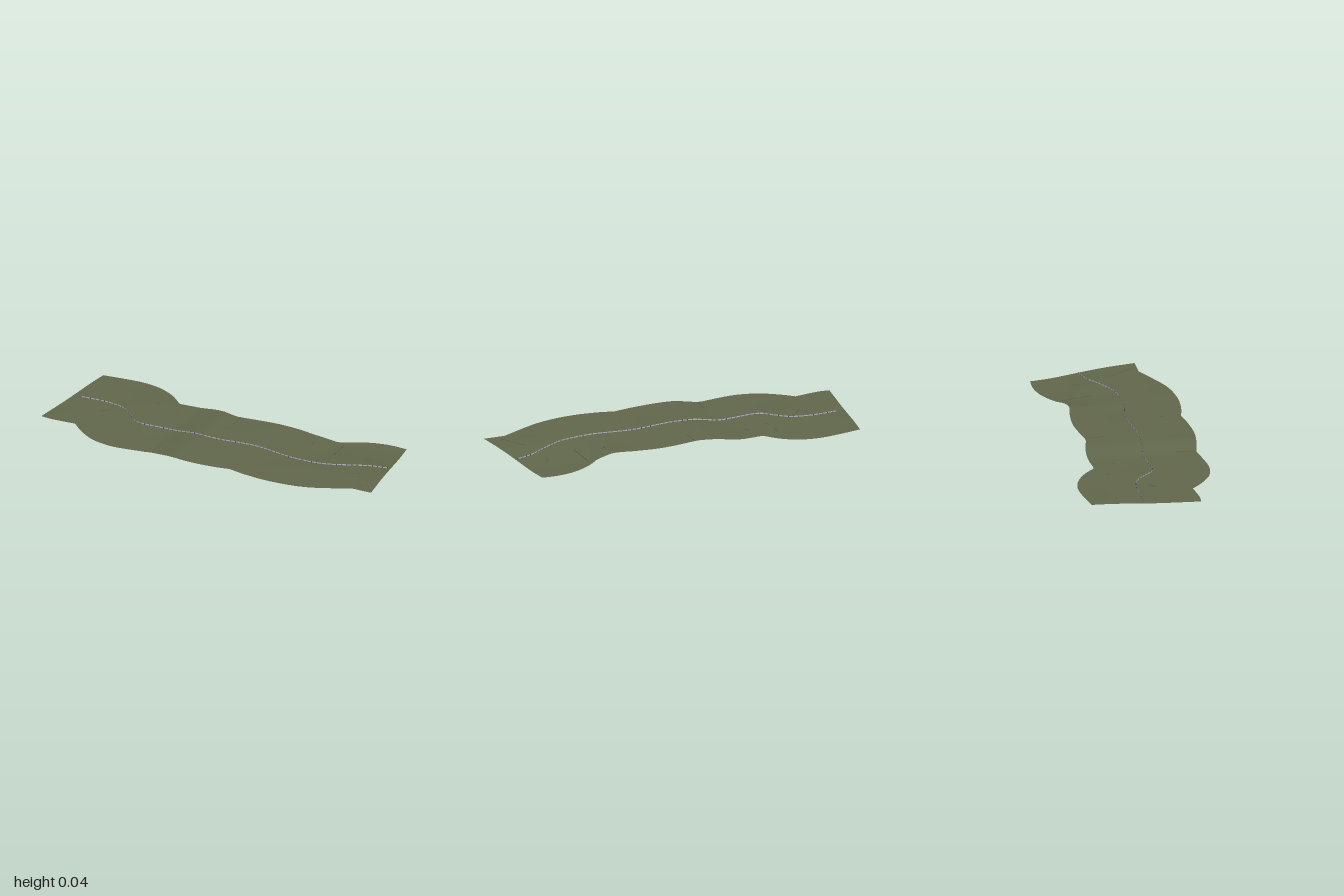
import * as THREE from 'three';

const mat = (name, color) => {
  const m = new THREE.MeshStandardMaterial({ color, side: THREE.DoubleSide });
  m.name = name;
  return m;
};

// Each edge of the strip is a row of smooth arcs meeting at sharp notches, [x, z]
const smoothEdge = (arcs) => arcs.flatMap((arc) =>
  new THREE.SplineCurve(arc.map(([x, z]) => new THREE.Vector2(x, z))).getPoints(24));

const BACK = smoothEdge([
  [[-0.94, -0.345], [-0.8, -0.367], [-0.7, -0.375], [-0.6, -0.36], [-0.5, -0.312], [-0.42, -0.24]],
  [[-0.42, -0.24], [-0.28, -0.25], [-0.17, -0.243], [-0.07, -0.222], [-0.02, -0.225], [0.1, -0.243],
    [0.2, -0.25], [0.32, -0.242], [0.43, -0.225], [0.54, -0.24]],
  [[0.54, -0.24], [0.62, -0.295], [0.7, -0.335], [0.8, -0.357], [0.9, -0.355]]]);
const FRONT = smoothEdge([
  [[-1, 0.24], [-0.93, 0.245], [-0.8, 0.23]],
  [[-0.8, 0.23], [-0.74, 0.283], [-0.65, 0.34], [-0.57, 0.364], [-0.47, 0.37], [-0.28, 0.342]],
  [[-0.28, 0.342], [-0.15, 0.363], [-0.03, 0.37], [0.1, 0.36], [0.2, 0.342]],
  [[0.2, 0.342], [0.3, 0.361], [0.43, 0.37], [0.55, 0.36], [0.65, 0.338], [0.75, 0.297], [0.88, 0.232]],
  [[0.88, 0.232], [1, 0.23]]]);

function edgeZ(points, x) {
  let i = 1;
  while (i < points.length - 1 && x > points[i].x) i++;
  const a = points[i - 1], b = points[i];
  const t = b.x > a.x ? THREE.MathUtils.clamp((x - a.x) / (b.x - a.x), 0, 1) : 0;
  return THREE.MathUtils.lerp(a.y, b.y, t);
}

// Ground height: low at the left, a plateau, falling to the back at the right end
function height(x, z) {
  const s = THREE.MathUtils.smoothstep;
  const rise = 0.021 * s(x, -0.32, -0.12);
  const drop = 0.025 * s(x, 0.42, 0.6) * (1 - s(z, -0.28, 0.15)) * (1 - 0.4 * s(x, 0.9, 1));
  const dip = 0.003 * s(-z, 0.2, 0.36) * (1 - s(x, -0.4, -0.2));
  return 0.008 + rise - drop - dip + 0.0018 * Math.sin(x * 9 + 1) * Math.cos(z * 11);
}

function createGround() {
  const geometry = new THREE.PlaneGeometry(1, 1, 200, 28);
  geometry.rotateX(-Math.PI / 2);
  const p = geometry.attributes.position;
  for (let i = 0; i < p.count; i++) {
    const u = p.getX(i) + 0.5, v = p.getZ(i) + 0.5;
    const xb = -0.94 + 1.84 * u, xf = -1 + 2 * u;
    const x = THREE.MathUtils.lerp(xb, xf, v);
    const z = THREE.MathUtils.lerp(edgeZ(BACK, xb), edgeZ(FRONT, xf), v);
    p.setXYZ(i, x, height(x, z), z);
  }
  geometry.computeVertexNormals();
  return geometry;
}

// Upright ribbon that follows the points, from low to high above the ground
function ribbon(points, low, high) {
  const geometry = new THREE.PlaneGeometry(1, 1, points.length - 1, 1);
  points.forEach((q, i) => {
    geometry.attributes.position.setXYZ(i, q.x, q.y + high, q.z);
    geometry.attributes.position.setXYZ(i + points.length, q.x, q.y + low, q.z);
  });
  geometry.computeVertexNormals();
  return geometry;
}

export function createModel() {
  const group = new THREE.Group();
  const olive = mat('olive ground', 0x60664a);
  const postGrey = mat('dark grey posts', 0x5a5562);
  const railGrey = mat('pale grey rails', 0xb4aec0);

  const ground = new THREE.Mesh(createGround(), olive);
  ground.name = 'ground';
  group.add(ground);

  // Fence winding along the strip: a pale rail carried by dark posts
  const path = new THREE.CatmullRomCurve3([[-0.92, -0.06], [-0.76, -0.068], [-0.65, -0.045], [-0.585, 0.005],
    [-0.52, 0.06], [-0.3, 0.052], [-0.03, 0.07], [0.2, 0.045], [0.45, 0.07], [0.62, 0.05], [0.75, -0.01],
    [0.84, -0.06], [0.93, -0.085]].map(([x, z]) => new THREE.Vector3(x, 0, z)));
  const line = path.getSpacedPoints(140).map((q) => q.setY(height(q.x, q.z)));
  const fence = new THREE.Group();
  fence.name = 'fence';
  const rail = new THREE.Mesh(ribbon(line, 0.002, 0.0085), railGrey);
  rail.name = 'fenceRail';
  fence.add(rail);
  const postGeometry = new THREE.BoxGeometry(0.003, 0.01, 0.003);
  for (let i = 0; i < line.length; i += 2) {
    const post = new THREE.Mesh(postGeometry, postGrey);
    post.position.copy(line[i]).setY(line[i].y + 0.0045);
    post.name = 'fencePost';
    fence.add(post);
  }
  group.add(fence);

  // Low steps where the ground is broken: x, z to x, z
  const steps = [[-0.28, 0.33, -0.272, 0.235], [0.206, 0.25, 0.21, 0.23], [0.585, -0.24, 0.602, -0.07],
    [-0.035, -0.22, -0.03, -0.12], [0.45, -0.155, 0.45, -0.12], [0.785, -0.15, 0.78, -0.11],
    [0.83, 0.06, 0.92, 0.2], [-0.52, -0.2, -0.52, -0.17], [-0.51, -0.1, -0.5, -0.08],
    [-0.38, -0.15, -0.37, -0.12], [-0.75, 0.04, -0.71, 0.0]];
  for (const [x0, z0, x1, z1] of steps) {
    const ends = [[x0, z0], [x1, z1]].map(([x, z]) => new THREE.Vector3(x, height(x, z), z));
    const step = new THREE.Mesh(ribbon(ends, -0.001, 0.003), olive);
    step.name = 'groundStep';
    group.add(step);
  }
  return group;
}
